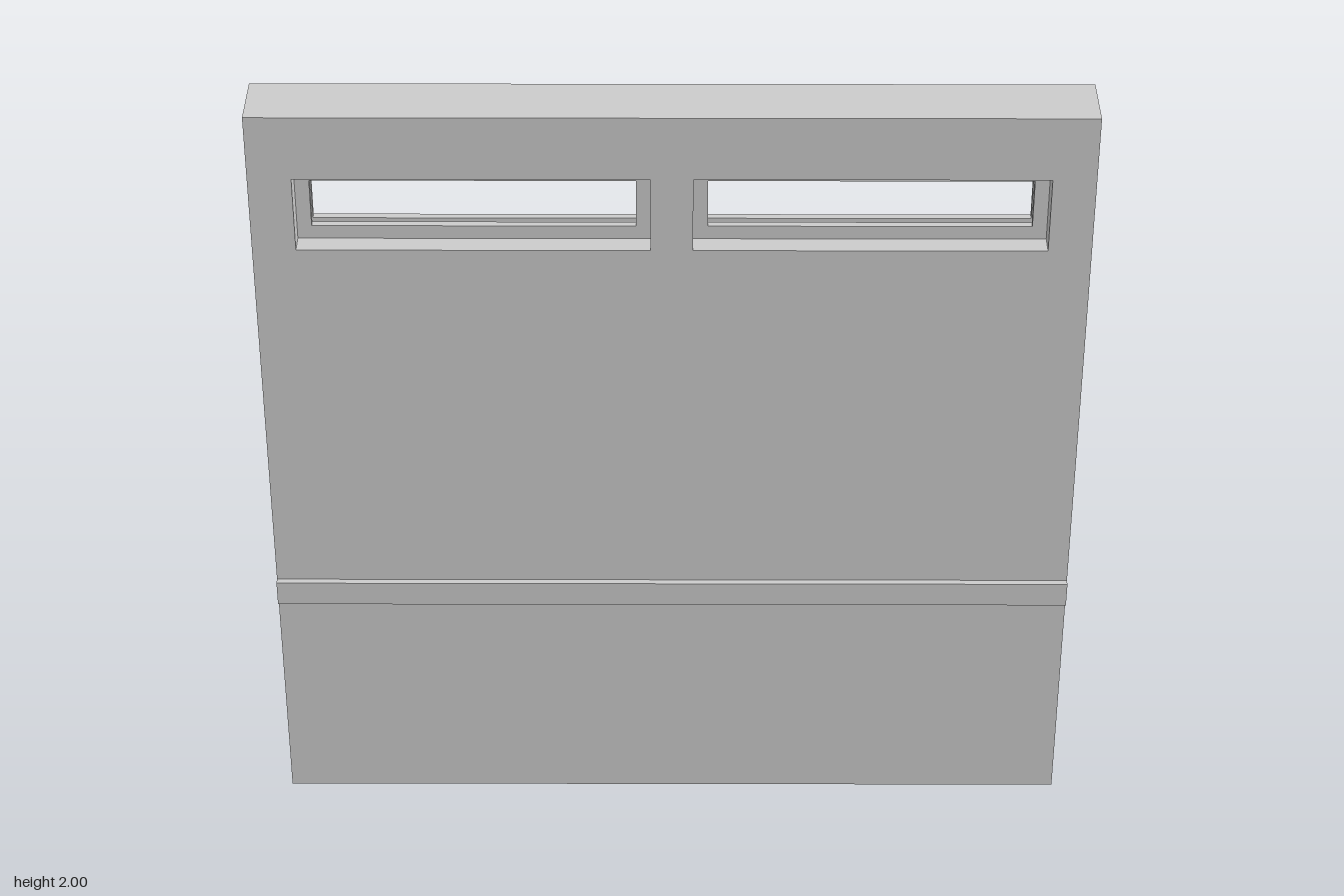
import * as THREE from 'three';

const material = new THREE.MeshStandardMaterial({ color: 0xcccccc, flatShading: true });

// Adds a rectangle, given by centre and size, to a shape or path
function rect(path, cx, cy, w, h) {
  path.moveTo(cx - w / 2, cy - h / 2);
  path.lineTo(cx + w / 2, cy - h / 2);
  path.lineTo(cx + w / 2, cy + h / 2);
  path.lineTo(cx - w / 2, cy + h / 2);
  path.closePath();
  return path;
}

// Flat plate with holes, from z0 to z1
function plate(name, outline, holes, z0, z1) {
  const shape = rect(new THREE.Shape(), ...outline);
  for (const hole of holes) shape.holes.push(rect(new THREE.Path(), ...hole));
  const geometry = new THREE.ExtrudeGeometry(shape, { depth: z1 - z0, bevelEnabled: false });
  geometry.translate(0, 0, z0);
  const mesh = new THREE.Mesh(geometry, material);
  mesh.name = name;
  return mesh;
}

export function createModel() {
  const model = new THREE.Group();
  model.name = 'wallPanel';

  const halfWall = 0.083;
  const winX = 0.473, winY = 1.738, winW = 0.845, winH = 0.194;
  const border = 0.035, halfFrame = 0.028, halfGroove = 0.009, grooveDepth = 0.013;

  // Wall slab with two window openings
  const openings = [-1, 1].map((s) => [s * winX, winY, winW, winH]);
  model.add(plate('wall', [0, 1, 2, 2], openings, -halfWall, halfWall));

  // Recessed window frames with a glazing groove around the inside
  for (const s of [-1, 1]) {
    const frame = new THREE.Group();
    frame.name = s > 0 ? 'leftWindowFrame' : 'rightWindowFrame';
    const outer = [s * winX, winY, winW, winH];
    const ring = (name, b, z0, z1) =>
      frame.add(plate(name, outer, [[s * winX, winY, winW - 2 * b, winH - 2 * b]], z0, z1));
    ring('frontFrame', border, halfGroove, halfFrame);
    ring('glazingGroove', border - grooveDepth, -halfGroove, halfGroove);
    ring('backFrame', border, -halfFrame, -halfGroove);
    model.add(frame);
  }

  // Trim rails on both faces
  const railDepth = 0.017;
  for (const s of [-1, 1]) {
    const rail = new THREE.Mesh(new THREE.BoxGeometry(2, 0.066, railDepth), material);
    rail.name = s > 0 ? 'frontRail' : 'backRail';
    rail.position.set(0, 0.635, s * (halfWall + railDepth / 2));
    model.add(rail);
  }
  return model;
}
